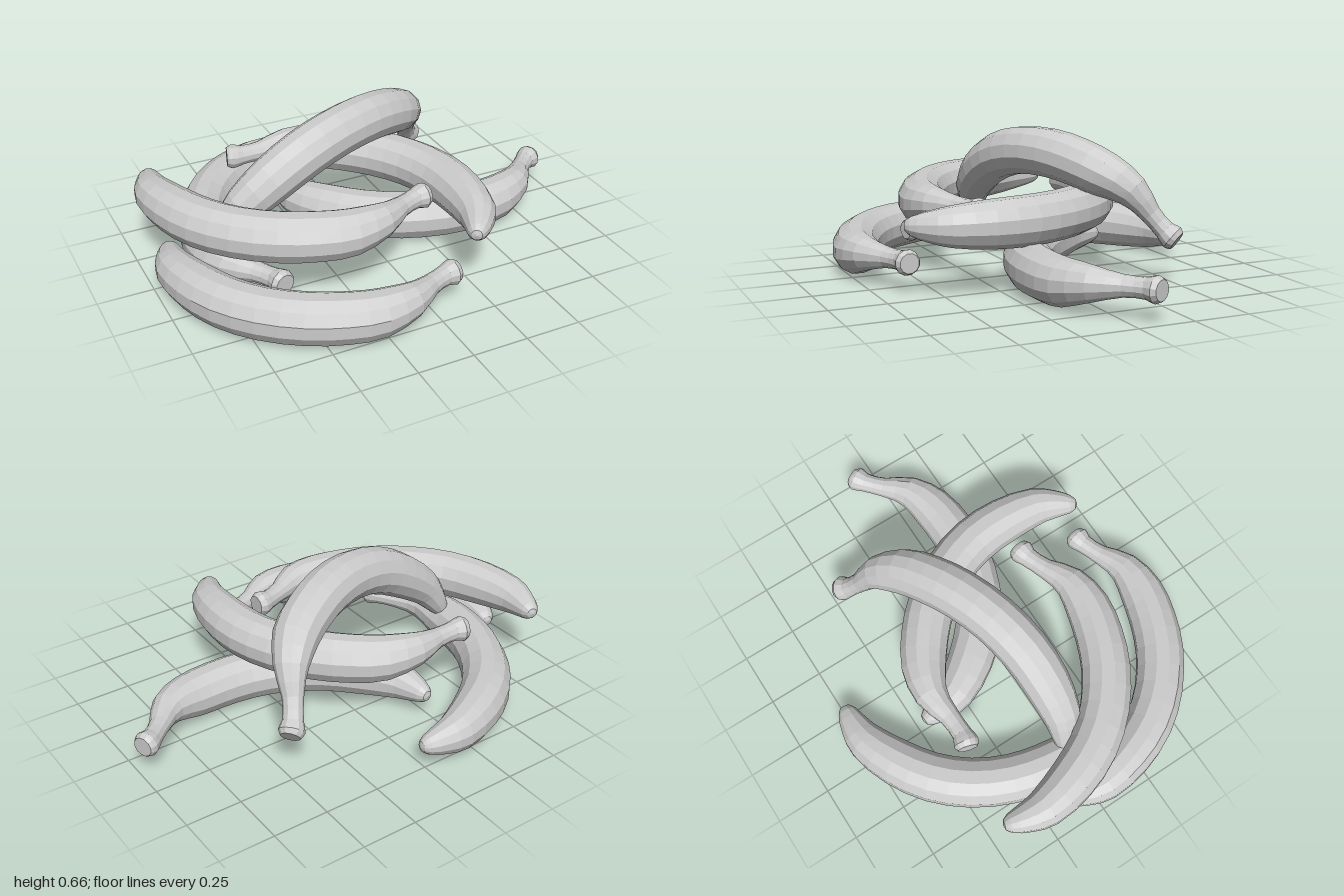
import * as THREE from 'three';

const SIDES = 12;

// Centre line in the plane of the curve: along the chord, bulge, radius
const profile = [
  [-0.003, -0.008, 0.024], [0.006, 0.016, 0.043], [0.035, 0.085, 0.067], [0.082, 0.163, 0.088],
  [0.205, 0.271, 0.105], [0.356, 0.359, 0.11], [0.528, 0.406, 0.11], [0.71, 0.409, 0.11],
  [0.865, 0.376, 0.108], [0.999, 0.321, 0.101], [1.105, 0.237, 0.075], [1.165, 0.125, 0.046],
  [1.215, 0.045, 0.045], [1.245, 0.012, 0.057], [1.264, -0.004, 0.044],
].map((p) => new THREE.Vector3(...p));
const RINGS = 2 * (profile.length - 1);

// One fruit swept along the profile, tip at the origin, stem on +x
function bananaGeometry() {
  const curve = new THREE.CatmullRomCurve3(profile);
  const pos = [], index = [];
  for (let i = 0; i <= RINGS; i++) {
    const p = curve.getPoint(i / RINGS);
    const t = curve.getTangent(i / RINGS);
    const len = Math.hypot(t.x, t.y);
    const nx = -t.y / len, ny = t.x / len;
    const lift = -0.025 * THREE.MathUtils.smoothstep(p.x, 0.95, 1.15);
    for (let j = 0; j < SIDES; j++) {
      const a = ((j + 0.5) / SIDES) * Math.PI * 2;
      const c = Math.cos(a) * p.z, s = Math.sin(a) * p.z;
      pos.push(p.x + nx * c, p.y + ny * c, lift + s);
    }
  }
  for (let i = 0; i < RINGS; i++) {
    for (let j = 0; j < SIDES; j++) {
      const k = (j + 1) % SIDES;
      const a = i * SIDES + j, b = i * SIDES + k;
      index.push(a, b, a + SIDES, b, b + SIDES, a + SIDES);
    }
  }
  // Domed tip and flat stem end
  const tip = pos.length / 3, stem = tip + 1, last = RINGS * SIDES;
  pos.push(-0.006, -0.014, 0, 1.264, -0.004, -0.025);
  for (let j = 0; j < SIDES; j++) {
    const k = (j + 1) % SIDES;
    index.push(tip, k, j, stem, last + j, last + k);
  }
  const g = new THREE.BufferGeometry();
  g.setAttribute('position', new THREE.Float32BufferAttribute(pos, 3));
  g.setIndex(index);
  g.computeVertexNormals();
  return g;
}

export function createModel() {
  const group = new THREE.Group();
  group.name = 'bananaPile';
  const geometry = bananaGeometry();
  const material = new THREE.MeshStandardMaterial({ color: 0xcccccc, flatShading: true });
  const up = new THREE.Vector3(0, 1, 0);

  // Lays a banana from tip to stem; lean raises its bulge from flat (0) to upright (90)
  function place(name, tip, stem, lean = 0) {
    const start = new THREE.Vector3(...tip);
    const x = new THREE.Vector3(...stem).sub(start).normalize();
    const side = x.clone().cross(up).normalize();
    const above = side.clone().cross(x);
    const a = THREE.MathUtils.degToRad(lean);
    const y = side.multiplyScalar(Math.cos(a)).addScaledVector(above, Math.sin(a));
    const z = x.clone().cross(y);
    const mesh = new THREE.Mesh(geometry, material);
    mesh.name = name;
    mesh.quaternion.setFromRotationMatrix(new THREE.Matrix4().makeBasis(x, y, z));
    mesh.position.copy(start);
    group.add(mesh);
  }

  // Bottom layer
  place('frontBanana', [-0.88, 0.11, -0.13], [0.135, 0.11, 0.615]);
  place('backBanana', [0.005, 0.11, -0.74], [-0.55, 0.11, 0.385]);
  place('sideBanana', [-0.235, 0.11, -0.46], [0.97, 0.11, -0.11]);
  // Second layer
  place('upperFrontBanana', [-0.86, 0.312, -0.44], [0.155, 0.312, 0.3]);
  place('upperSideBanana', [0.21, 0.312, 0.645], [-0.495, 0.312, -0.4]);
  // Arched over the top
  place('topBanana', [-0.685, 0.18, -0.015], [0.45, 0.195, -0.435], 63);
  return group;
}
